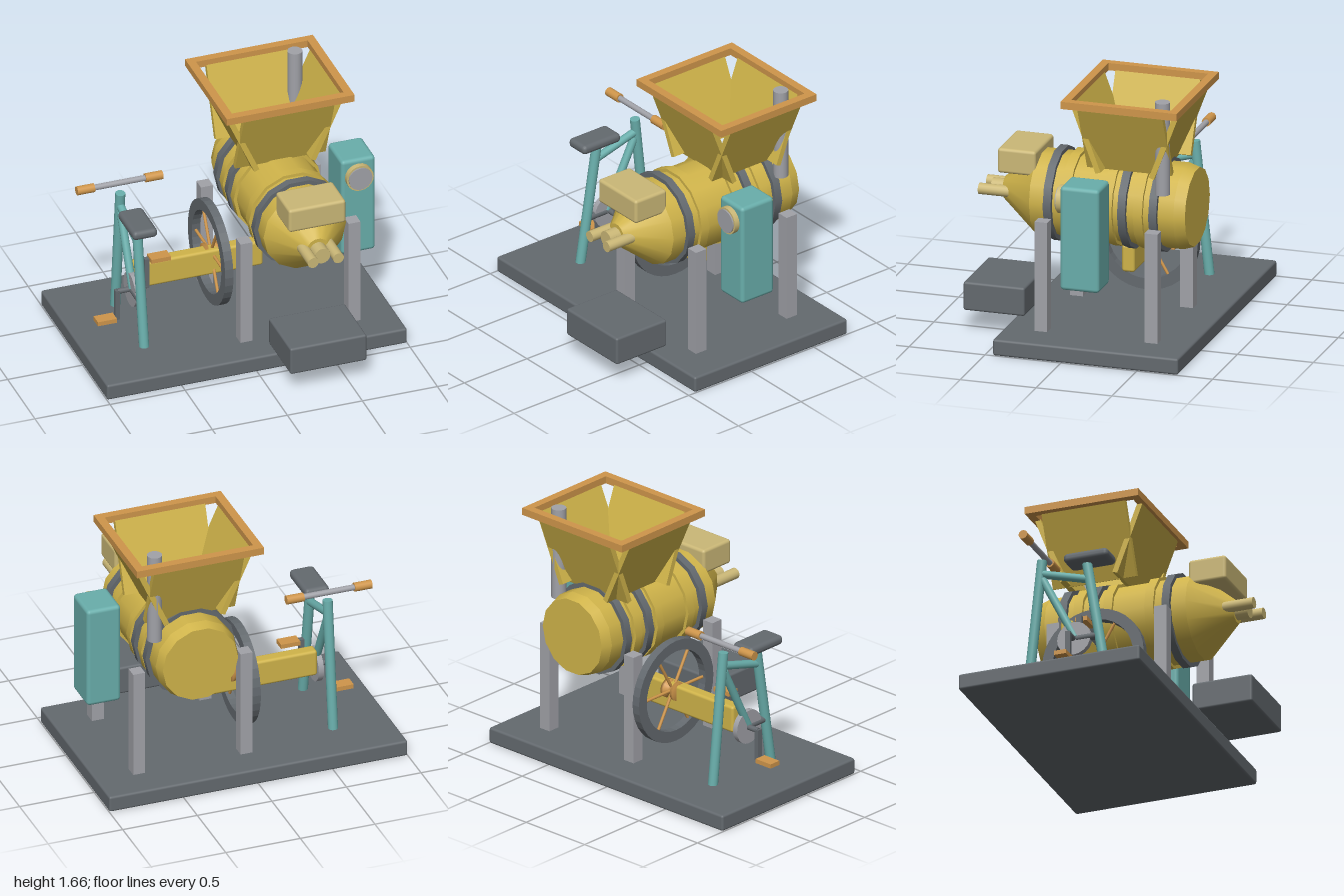
import * as THREE from 'three';
import { RoundedBoxGeometry } from 'three/addons/geometries/RoundedBoxGeometry.js';

const paint = (name, color) => {
  const m = new THREE.MeshStandardMaterial({ color });
  m.name = name;
  return m;
};

export function createModel() {
  const root = new THREE.Group();
  root.name = 'pedalMixer';
  const yellow = paint('yellow', 0xd0b44a);
  const beige = paint('beige', 0xcbb877);
  const teal = paint('teal', 0x69aeab);
  const orange = paint('orange', 0xcf964b);
  const steel = paint('steel', 0xa1a2a8);
  const dark = paint('dark', 0x646a6f);

  const add = (name, geometry, material, x = 0, y = 0, z = 0, parent = root) => {
    const mesh = new THREE.Mesh(geometry, material);
    mesh.name = name;
    mesh.position.set(x, y, z);
    parent.add(mesh);
    return mesh;
  };
  const group = (name, x = 0, y = 0, z = 0) => {
    const g = new THREE.Group();
    g.name = name;
    g.position.set(x, y, z);
    root.add(g);
    return g;
  };
  // Box given by its extents on each axis
  const block = (name, material, [x0, x1], [y0, y1], [z0, z1], r = 0, parent = root) => {
    const s = [x1 - x0, y1 - y0, z1 - z0];
    const geo = r ? new RoundedBoxGeometry(...s, 2, r) : new THREE.BoxGeometry(...s);
    return add(name, geo, material, (x0 + x1) / 2, (y0 + y1) / 2, (z0 + z1) / 2, parent);
  };
  // Cylinder between two points
  const rod = (name, material, a, b, r, parent = root, sides = 16) => {
    const p = new THREE.Vector3(...a), q = new THREE.Vector3(...b);
    const mesh = add(name, new THREE.CylinderGeometry(r, r, p.distanceTo(q), sides), material, 0, 0, 0, parent);
    mesh.position.lerpVectors(p, q, 0.5);
    mesh.quaternion.setFromUnitVectors(new THREE.Vector3(0, 1, 0), q.sub(p).normalize());
    return mesh;
  };

  // Base, posts and front box
  block('base', dark, [-1, 1], [0, 0.107], [-0.77, 0.45], 0.015);
  for (const x of [0, 0.72])
    for (const z of [0.21, -0.515])
      block('post', steel, [x - 0.04, x + 0.04], [0.1, 0.83], [z - 0.042, z + 0.042]);
  block('frontBox', dark, [0.105, 0.615], [0.14, 0.328], [0.367, 0.77], 0.015);

  // Drum: stacked 14-sided sections along z
  const drum = group('drum', 0.36, 0.898, 0);
  const section = (name, material, z0, z1, rBack, rFront) => {
    const geo = new THREE.CylinderGeometry(rFront, rBack, z1 - z0, 14);
    geo.rotateY(Math.PI / 2).rotateX(Math.PI / 2);
    add(name, geo, material, 0, 0, (z0 + z1) / 2, drum);
  };
  section('drumNose', yellow, 0.33, 0.57, 0.275, 0.075);
  section('drumBody', yellow, -0.62, 0.33, 0.275, 0.275);
  section('drumRear', yellow, -0.69, -0.62, 0.253, 0.275);
  for (const z of [0.09, -0.19, -0.39]) section('drumRib', yellow, z - 0.03, z + 0.03, 0.296, 0.296);
  for (const z of [0.205, -0.285, -0.49]) section('drumBand', dark, z - 0.026, z + 0.026, 0.303, 0.303);

  // Nose fittings
  block('noseBox', beige, [0.17, 0.55], [1.05, 1.214], [0.315, 0.567], 0.02);
  rod('centreOutlet', beige, [0.36, 0.895, 0.45], [0.36, 0.895, 0.655], 0.053);
  for (const s of [-1, 1])
    rod('sideOutlet', beige, [0.36 + s * 0.084, 0.898, 0.45], [0.36 + s * 0.084, 0.898, 0.718], 0.036);

  // Hopper: four tilted rectangular panels under a square rim
  const hopper = group('hopper', 0.36, 0, -0.31);
  for (const s of [-1, 1]) {
    const side = add('hopperSide', new THREE.BoxGeometry(0.035, 0.48, 0.56), yellow, s * 0.285, 1.385, 0, hopper);
    side.rotation.z = -s * 0.42;
    const end = add('hopperEnd', new THREE.BoxGeometry(0.604, 0.48, 0.035), yellow, 0, 1.385, s * 0.26, hopper);
    end.rotation.x = s * 0.36;
    block('rimSide', orange, [s * 0.399 - 0.027, s * 0.399 + 0.027], [1.605, 1.653], [-0.382, 0.382], 0, hopper);
    block('rimEnd', orange, [-0.373, 0.373], [1.605, 1.653], [s * 0.355 - 0.027, s * 0.355 + 0.027], 0, hopper);
  }
  rod('exhaustPipe', steel, [0.612, 1.05, -0.543], [0.612, 1.66, -0.543], 0.048);

  // Gearbox with dial
  block('gearbox', teal, [0.715, 0.943], [0.46, 1.145], [-0.23, 0.028], 0.025);
  rod('dialRing', beige, [0.827, 1.025, 0], [0.827, 1.025, 0.064], 0.09, root, 20);
  rod('dialFace', steel, [0.827, 1.025, 0.05], [0.827, 1.025, 0.073], 0.078, root, 20);

  // Flywheel turning about x
  const wheel = group('flywheel', -0.066, 0.512, -0.222);
  const ring = new THREE.Shape().absarc(0, 0, 0.342, 0, Math.PI * 2);
  ring.holes.push(new THREE.Path().absarc(0, 0, 0.27, 0, Math.PI * 2));
  const rim = new THREE.ExtrudeGeometry(ring, { depth: 0.055, bevelEnabled: false, curveSegments: 18 });
  add('flywheelRim', rim.translate(0, 0, -0.0275).rotateY(Math.PI / 2), dark, 0, 0, 0, wheel);
  for (let i = 0; i < 6; i++) {
    const a = (i * Math.PI) / 3;
    rod('spoke', orange, [0, 0, 0], [0, Math.sin(a) * 0.285, Math.cos(a) * 0.285], 0.01, wheel, 8);
  }
  const hubProfile = [[0, -0.05], [0.062, -0.05], [0.062, -0.03], [0.035, -0.012], [0.035, 0.012],
    [0.062, 0.03], [0.062, 0.05], [0, 0.05]].map(([r, y]) => new THREE.Vector2(r, y));
  add('hub', new THREE.LatheGeometry(hubProfile, 16).rotateZ(Math.PI / 2), orange, 0, 0, 0, wheel);
  block('driveHousing', yellow, [-0.597, 0.262], [0.379, 0.557], [-0.243, -0.158], 0.018);

  // Pedal frame
  const X = -0.62;
  const frame = group('pedalFrame');
  rod('seatLeg', teal, [X, 0.1, 0.08], [X, 0.93, -0.055], 0.032, frame);
  rod('handlebarLeg', teal, [X, 0.1, -0.45], [X, 0.98, -0.355], 0.032, frame);
  rod('topTube', teal, [X, 0.89, -0.36], [X, 0.8, -0.035], 0.026, frame);
  rod('downTube', teal, [X, 0.85, -0.35], [X, 0.41, -0.13], 0.026, frame);
  rod('chainStay', dark, [X, 0.403, 0.03], [X, 0.403, -0.12], 0.024, frame);
  block('seat', dark, [-0.703, -0.537], [0.907, 0.97], [-0.185, 0.115], 0.028, frame);

  // Handlebar and grips
  rod('handlebar', steel, [-0.88, 1.046, -0.372], [-0.36, 1.046, -0.372], 0.019, frame);
  for (const s of [-1, 1])
    rod('grip', orange, [X + s * 0.17, 1.046, -0.372], [X + s * 0.285, 1.046, -0.372], 0.029, frame);

  // Crank, arms and pedals
  rod('chainWheel', steel, [X - 0.018, 0.403, -0.135], [X + 0.018, 0.403, -0.135], 0.112, frame, 20);
  rod('crankAxle', dark, [-0.72, 0.403, -0.14], [-0.525, 0.403, -0.14], 0.018, frame);
  block('lowerCrankArm', dark, [-0.735, -0.705], [0.203, 0.413], [-0.157, -0.123], 0, frame);
  block('upperCrankArm', dark, [-0.54, -0.51], [0.395, 0.605], [-0.157, -0.123], 0, frame);
  block('lowerPedal', orange, [-0.862, -0.735], [0.198, 0.227], [-0.18, -0.1], 0, frame);
  block('upperPedal', orange, [-0.505, -0.375], [0.582, 0.611], [-0.18, -0.1], 0, frame);

  return root;
}
